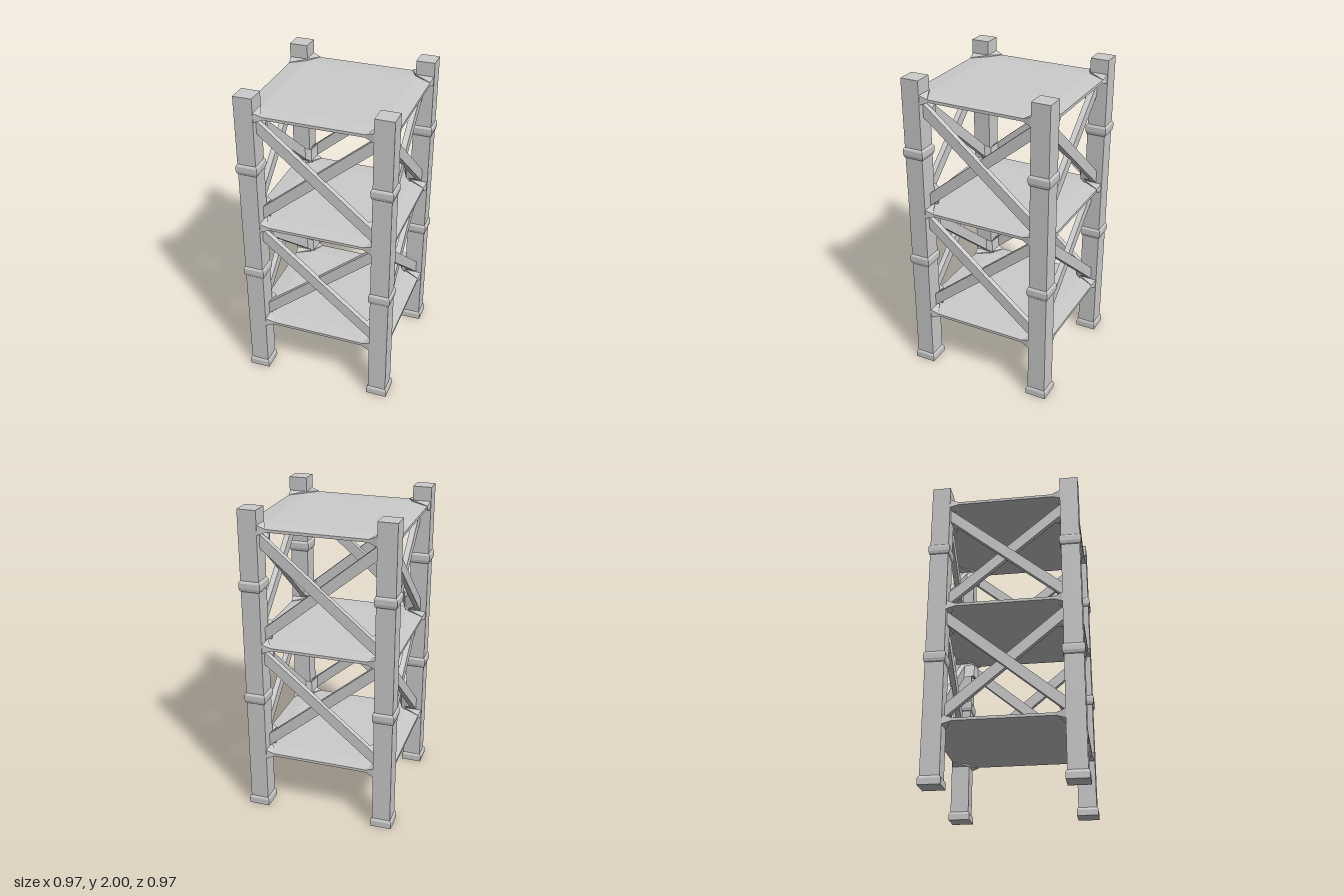
import * as THREE from 'three';
import { ConvexGeometry } from 'three/addons/geometries/ConvexGeometry.js';

const material = new THREE.MeshStandardMaterial({ color: 0xcccccc, flatShading: true });
const POST = 0.416;      // post centre from the axis
const HALF = 0.0585;     // half width of a post
const INNER = POST - HALF;
const V = (x, y, z) => new THREE.Vector3(x, y, z);

function add(parent, name, geometry) {
  const mesh = new THREE.Mesh(geometry, material);
  mesh.name = name;
  parent.add(mesh);
  return mesh;
}

// Square post with a bevelled foot and two collars, turned as a four-sided lathe
function postGeometry() {
  const collar = y => [[HALF, y - 0.034], [0.064, y - 0.028], [0.068, y - 0.012],
    [0.068, y + 0.02], [0.064, y + 0.028], [HALF, y + 0.034]];
  const profile = [[0, 0], [0.068, 0], [0.068, 0.038], [0.064, 0.048], [HALF, 0.054],
    ...collar(0.785), ...collar(1.533), [HALF, 2], [0, 2]];
  const points = profile.map(([r, y]) => new THREE.Vector2(r * Math.SQRT2, y));
  const g = new THREE.LatheGeometry(points, 4, Math.PI / 4).toNonIndexed();
  g.computeVertexNormals();
  return g;
}

// Flat board that thins towards its edges
function shelfGeometry() {
  const pts = [];
  for (const [r, h] of [[0.36, 0.018], [0.462, 0.009]])
    for (const x of [-r, r]) for (const z of [-r, r]) pts.push(V(x, h, z), V(x, -h, z));
  return new ConvexGeometry(pts);
}

// Flared gusset joining a shelf corner to its post
function gussetGeometry() {
  const pts = [];
  for (const s of [-1, 1]) {
    pts.push(V(0.308, s * 0.011, 0.463), V(0.463, s * 0.011, 0.308));
    pts.push(V(INNER, s * 0.029, INNER), V(INNER, s * 0.029, 0.471), V(0.471, s * 0.029, INNER));
  }
  return new ConvexGeometry(pts);
}

// Diagonal bar cut vertically where it meets the posts; dir is the slope sign
function braceGeometry(dir, zIn, zOut) {
  const x = INNER + 0.004, rise = 0.302 * dir, h = 0.043;
  const pts = [];
  for (const s of [-1, 1]) for (const t of [-h, h]) for (const z of [zIn, zOut])
    pts.push(V(s * x, s * rise + t, z));
  return new ConvexGeometry(pts);
}

// Wedge that thickens a bar inwards at its end
function braceEndGeometry(side, dir, zIn) {
  const slope = 0.302 / INNER, h = 0.043, pts = [];
  for (const [x, z] of [[INNER + 0.004, 0.334], [0.335, 0.334], [0.315, zIn], [INNER + 0.004, zIn + 0.01]])
    for (const t of [-h, h]) pts.push(V(side * x, side * dir * x * slope + t, z));
  return new ConvexGeometry(pts);
}

export function createModel() {
  const model = new THREE.Group();
  model.name = 'shelfTower';

  const post = postGeometry();
  for (const x of [-POST, POST]) for (const z of [-POST, POST])
    add(model, 'post', post).position.set(x, 0, z);

  // Three shelves with a gusset in every corner
  const shelf = shelfGeometry(), gusset = gussetGeometry();
  for (const y of [0.387, 1.135, 1.882]) {
    const level = new THREE.Group();
    level.name = 'shelf';
    level.position.y = y;
    add(level, 'board', shelf);
    for (let i = 0; i < 4; i++) add(level, 'gusset', gusset).rotation.y = i * Math.PI / 2;
    model.add(level);
  }

  // Crossed braces on all four sides of both bays
  const bars = [[-1, 0.4, 0.435], [1, 0.372, 0.408]].map(([dir, zIn, zOut]) => ({
    bar: braceGeometry(dir, zIn, zOut),
    ends: [-1, 1].map(side => braceEndGeometry(side, dir, zIn)),
  }));
  for (const y of [0.761, 1.509]) for (let i = 0; i < 4; i++) {
    const cross = new THREE.Group();
    cross.name = 'crossBrace';
    cross.position.y = y;
    cross.rotation.y = i * Math.PI / 2;
    for (const { bar, ends } of bars) {
      add(cross, 'brace', bar);
      for (const end of ends) add(cross, 'braceEnd', end);
    }
    model.add(cross);
  }
  return model;
}
